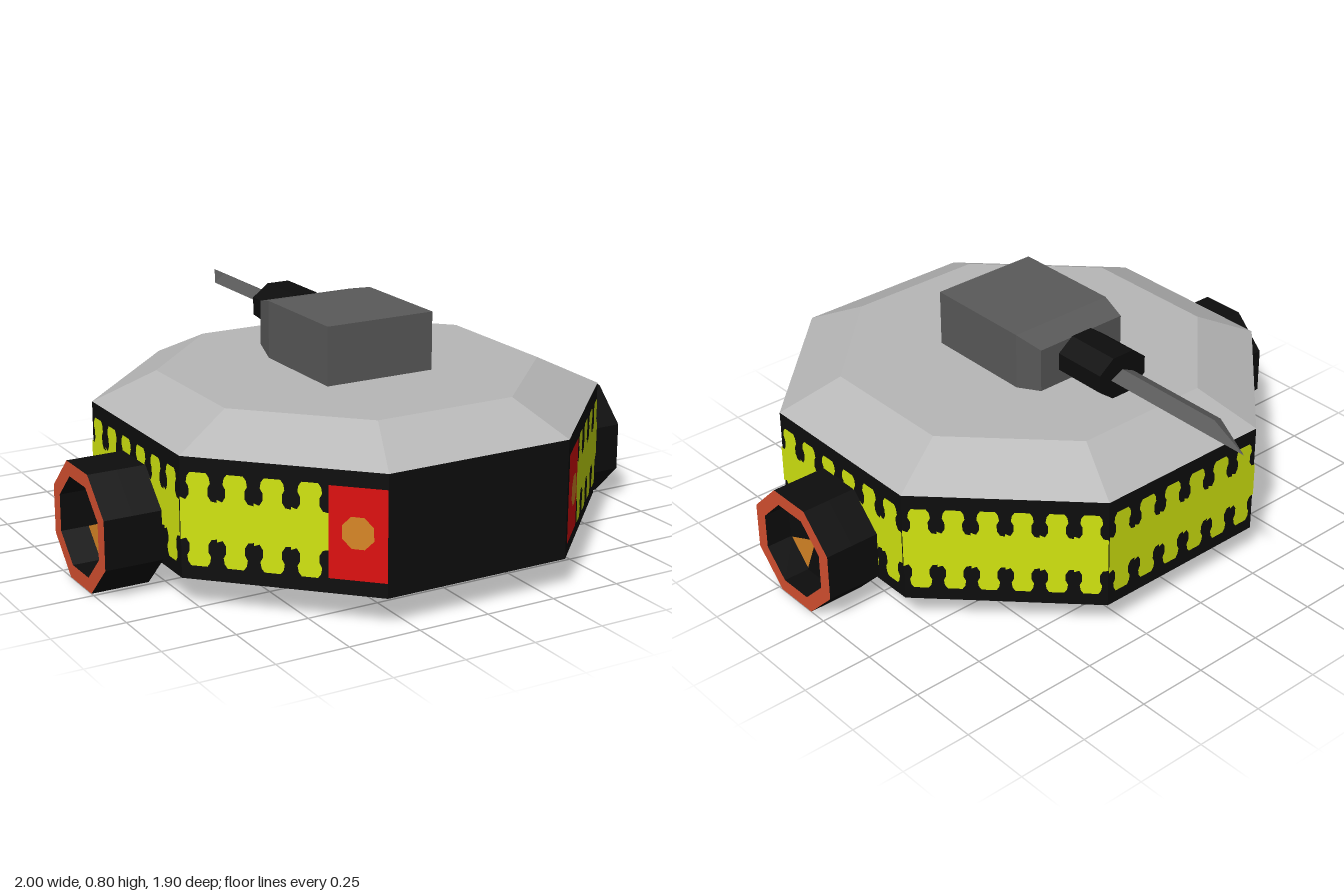
import * as THREE from 'three';

const mat = (name, color, extra = {}) => {
  const m = new THREE.MeshStandardMaterial({ color, ...extra });
  m.name = name;
  return m;
};

// Octagon corners seen from above, starting at the front face
const octagon = (half, corner, y) => {
  const c = 0.147, pts = [[-corner, half], [corner, half], [half, corner], [half, -corner],
    [corner, -half], [-corner, -half], [-half, -corner], [-half, corner]];
  return pts.map(([x, z]) => [x, y, z + c]);
};

// Flat-faced solid through matching rings of points, capped at both ends
function loft(rings) {
  const pos = [];
  const tri = (a, b, c) => pos.push(...a, ...b, ...c);
  const n = rings[0].length, first = rings[0], last = rings[rings.length - 1];
  for (let r = 0; r < rings.length - 1; r++) {
    for (let i = 0; i < n; i++) {
      const j = (i + 1) % n, a = rings[r], b = rings[r + 1];
      tri(a[i], a[j], b[j]);
      tri(a[i], b[j], b[i]);
    }
  }
  for (let i = 1; i < n - 1; i++) {
    tri(first[0], first[i + 1], first[i]);
    tri(last[0], last[i], last[i + 1]);
  }
  const g = new THREE.BufferGeometry();
  g.setAttribute('position', new THREE.Float32BufferAttribute(pos, 3));
  g.computeVertexNormals();
  return g;
}

// Regular octagon outline with flats at the top and sides
const ringPoints = (apothem) => Array.from({ length: 8 }, (_, i) => {
  const a = (i + 0.5) * Math.PI / 4, r = apothem / Math.cos(Math.PI / 8);
  return new THREE.Vector2(r * Math.cos(a), r * Math.sin(a));
});

// Band whose upper and lower edges carry rounded teeth between keyhole notches
function toothedBand(x0, x1, teeth) {
  const step = (x1 - x0) / teeth, edge = [];
  const tooth = [[0, 0.07], [0.15, 0.063], [0.24, 0.08], [0.24, 0.105], [0.17, 0.12],
    [0.2, 0.14], [0.28, 0.153], [0.72, 0.153], [0.8, 0.14], [0.83, 0.12],
    [0.76, 0.105], [0.76, 0.08], [0.85, 0.063], [1, 0.06]];
  for (let i = 0; i < teeth; i++) {
    for (const [u, h] of tooth) edge.push([x0 + (i + u * 0.999) * step, h]);
  }
  const lower = edge.map(([x, h]) => new THREE.Vector2(x, 0.3 - h));
  const upper = edge.map(([x, h]) => new THREE.Vector2(x, 0.3 + h)).reverse();
  return new THREE.ShapeGeometry(new THREE.Shape([...lower, ...upper]));
}

export function createModel() {
  const model = new THREE.Group();
  model.name = 'octagonalVehicle';
  const black = mat('black', 0x0d0d0d);
  const roofGrey = mat('roof grey', 0xb8b8b8);
  const steel = mat('dark steel', 0x5a5a5a);
  const yellow = mat('acid yellow', 0xd2e610);
  const red = mat('signal red', 0xdf0e0e);
  const orange = mat('orange', 0xd98726);
  const rust = mat('rust red', 0xd65030);

  const add = (parent, name, geometry, material, x = 0, y = 0, z = 0) => {
    const mesh = new THREE.Mesh(geometry, material);
    mesh.name = name;
    mesh.position.set(x, y, z);
    parent.add(mesh);
    return mesh;
  };

  // Hull and sloped roof
  const hull = octagon(0.798, 0.332, 0.1);
  add(model, 'hull', loft([hull, octagon(0.798, 0.332, 0.5)]), black);
  add(model, 'roof', loft([octagon(0.798, 0.332, 0.5), octagon(0.598, 0.25, 0.6)]), roofGrey);

  // Painted side faces: local x runs along the face, local z points outward
  hull.forEach((a, i) => {
    if (i === 0) return;
    const b = hull[(i + 1) % 8];
    const dx = b[0] - a[0], dz = b[2] - a[2], len = Math.hypot(dx, dz);
    const face = new THREE.Group();
    face.name = 'sideFace' + i;
    face.position.set(a[0], 0, a[2]);
    face.rotation.y = Math.atan2(-dz, dx);
    model.add(face);

    const panel = 0.185;
    if (i === 1 || i === 7) {
      // Front lamps sit beside the plain front face
      const cx = i === 1 ? panel / 2 : len - panel / 2;
      add(face, 'lampPanel', new THREE.PlaneGeometry(panel, 0.3), red, cx, 0.3, 0.004);
      const s = new THREE.Shape();
      s.absellipse(0, 0, 0.054, 0.056, 0, Math.PI * 2, false, Math.PI / 8);
      add(face, 'lamp', new THREE.ShapeGeometry(s, 4), orange, cx, 0.305, 0.008);
      const [x0, x1] = i === 1 ? [panel, len] : [0, len - panel];
      add(face, 'toothedBand', toothedBand(x0, x1, 4), yellow, 0, 0, 0.004);
    } else {
      add(face, 'toothedBand', toothedBand(0, len, 6), yellow, 0, 0, 0.004);
    }
    // Strips under the diagonal edges
    if (i % 2) {
      add(face, 'undersideStrip', new THREE.BoxGeometry(len - 0.04, 0.006, 0.04), orange,
        len / 2, 0.099, -0.03);
    }
  });

  // Wheels with a recessed hub, built facing +z and turned outward
  for (const side of [1, -1]) {
    const wheel = new THREE.Group();
    wheel.name = side > 0 ? 'leftWheel' : 'rightWheel';
    wheel.position.set(side * 0.8, 0.2, 0.15);
    wheel.rotation.y = side * Math.PI / 2;
    model.add(wheel);

    const solid = { depth: 0.1, bevelEnabled: false };
    add(wheel, 'wheelBase', new THREE.ExtrudeGeometry(new THREE.Shape(ringPoints(0.2)), solid), black);
    const rim = new THREE.Shape(ringPoints(0.2));
    rim.holes.push(new THREE.Path(ringPoints(0.152)));
    add(wheel, 'wheelRim', new THREE.ExtrudeGeometry(rim, solid), [rust, black], 0, 0, 0.1);
    add(wheel, 'hubDisc', new THREE.ShapeGeometry(new THREE.Shape(ringPoints(0.152))), orange, 0, 0, 0.103);
    const wedge = new THREE.Shape([[0.022, -0.01], [0.151, -0.063], [0.151, 0.063], [0.022, 0.01]]
      .map(([x, y]) => new THREE.Vector2(x, y)));
    for (let k = 0; k < 4; k++) {
      add(wheel, 'hubWedge', new THREE.ShapeGeometry(wedge), black, 0, 0, 0.107).rotation.z = k * Math.PI / 2;
    }
  }

  // Turret box, tapering toward the rear
  const rect = (w, y0, y1, z) => [[-w, y0, z], [-w, y1, z], [w, y1, z], [w, y0, z]];
  add(model, 'turret', loft([rect(0.2, 0.6, 0.8, 0.35), rect(0.2, 0.6, 0.8, -0.05),
    rect(0.178, 0.622, 0.776, -0.15)]), steel);

  // Eight-sided collar
  const collar = (z) => ringPoints(1).map((p) => [-0.1 * p.x, 0.705 + 0.075 * p.y, z]);
  add(model, 'collar', loft([collar(-0.15), collar(-0.35)]), black);

  // Blade with a diamond section and a slanted tip
  const blade = (edgeZ, ridgeZ, tipZ) => [[-0.05, 0.701, edgeZ], [0, 0.725, ridgeZ],
    [0.05, 0.701, tipZ], [0, 0.677, ridgeZ]];
  add(model, 'blade', loft([blade(-0.34, -0.34, -0.34), blade(-0.75, -0.77, -0.948)]), steel);

  return model;
}
